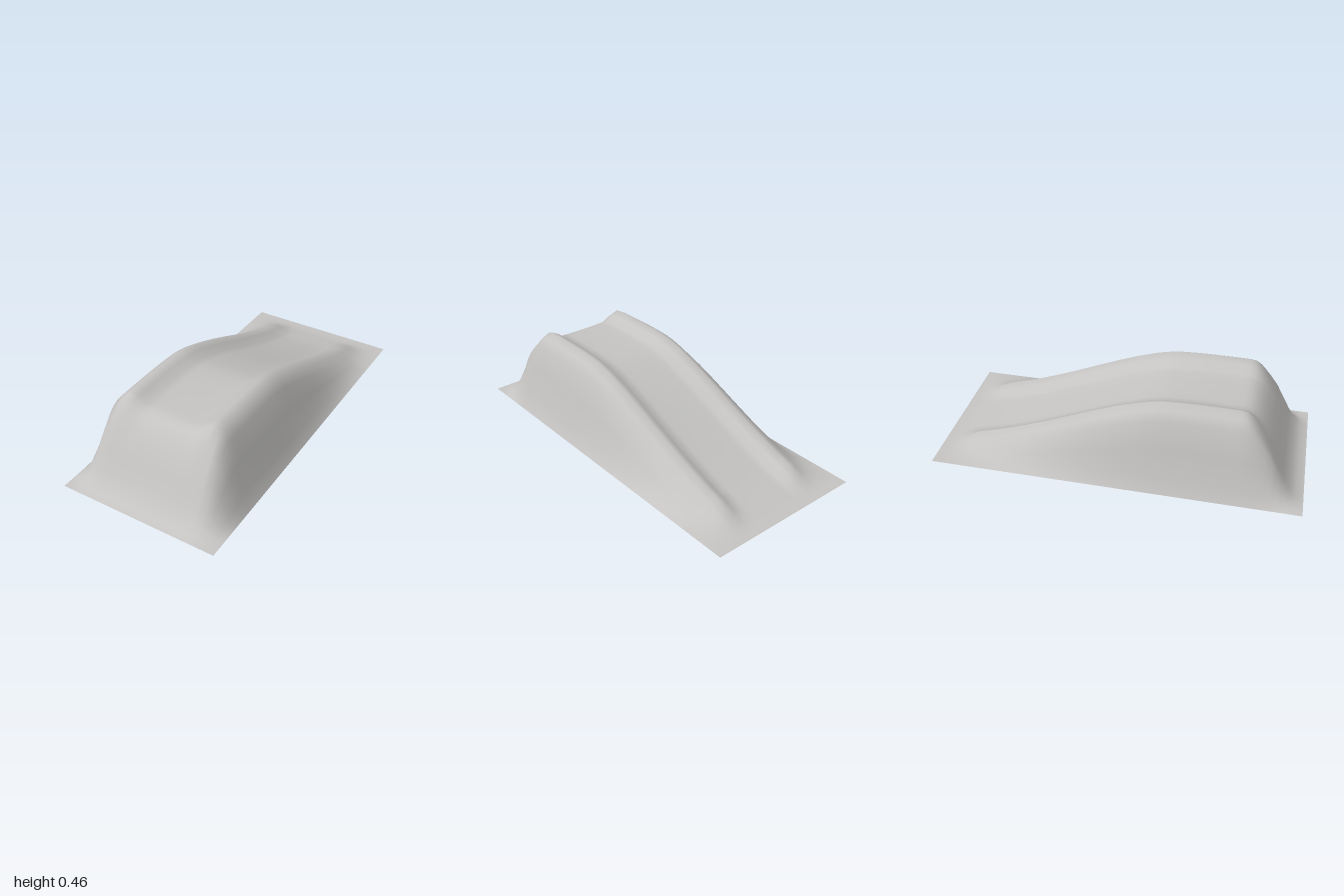
import * as THREE from 'three';

// Lengthwise sections: [z, height of the ramp, strength of the side ridges]
const SECTIONS = [
  [-1, 0, 0], [-0.95, 0.001, 0], [-0.91, 0.008, 0.1], [-0.87, 0.016, 0.3], [-0.83, 0.025, 0.65],
  [-0.78, 0.035, 0.95], [-0.74, 0.046, 1], [-0.7, 0.057, 1], [-0.6, 0.09, 1], [-0.5, 0.127, 1],
  [-0.4, 0.167, 1], [-0.3, 0.209, 1], [-0.2, 0.252, 1], [-0.1, 0.294, 1], [0, 0.333, 1],
  [0.1, 0.366, 1], [0.15, 0.38, 1], [0.2, 0.391, 1], [0.25, 0.397, 1], [0.32, 0.401, 1],
  [0.4, 0.403, 1], [0.5, 0.403, 1], [0.6, 0.402, 1], [0.64, 0.401, 0.99], [0.67, 0.397, 0.95],
  [0.7, 0.383, 0.72], [0.73, 0.358, 0.45], [0.76, 0.322, 0.2], [0.8, 0.264, 0.05], [0.84, 0.187, 0],
  [0.88, 0.108, 0], [0.92, 0.047, 0], [0.96, 0.012, 0], [1, 0, 0],
];

// Half cross-section from the middle outwards, evenly spaced: share of the ramp height, ridge height
const ACROSS = [
  [0.992, 0], [0.992, 0], [0.993, 0], [0.995, 0.001], [1, 0.002], [1, 0.034],
  [1, 0.053], [0.995, 0.03], [0.95, 0.002], [0.6, 0], [0.2, 0], [0, 0],
];
const HALF_WIDTH = 0.447;

export function createModel() {
  const model = new THREE.Group();
  const paint = new THREE.MeshStandardMaterial({ color: 0xc4c3c1, side: THREE.DoubleSide });
  paint.name = 'light grey';

  // Open shell: a flat sheet raised section by section
  const half = ACROSS.length - 1;
  const sheet = new THREE.PlaneGeometry(2, 2, half * 2, SECTIONS.length - 1);
  const pos = sheet.attributes.position;
  SECTIONS.forEach(([z, height, ridge], row) => {
    for (let col = -half; col <= half; col++) {
      const [share, lift] = ACROSS[Math.abs(col)];
      const index = row * (half * 2 + 1) + col + half;
      pos.setXYZ(index, (col / half) * HALF_WIDTH, height * share + ridge * lift, z);
    }
  });
  sheet.computeVertexNormals();

  const shell = new THREE.Mesh(sheet, paint);
  shell.name = 'rampShell';
  model.add(shell);
  return model;
}
